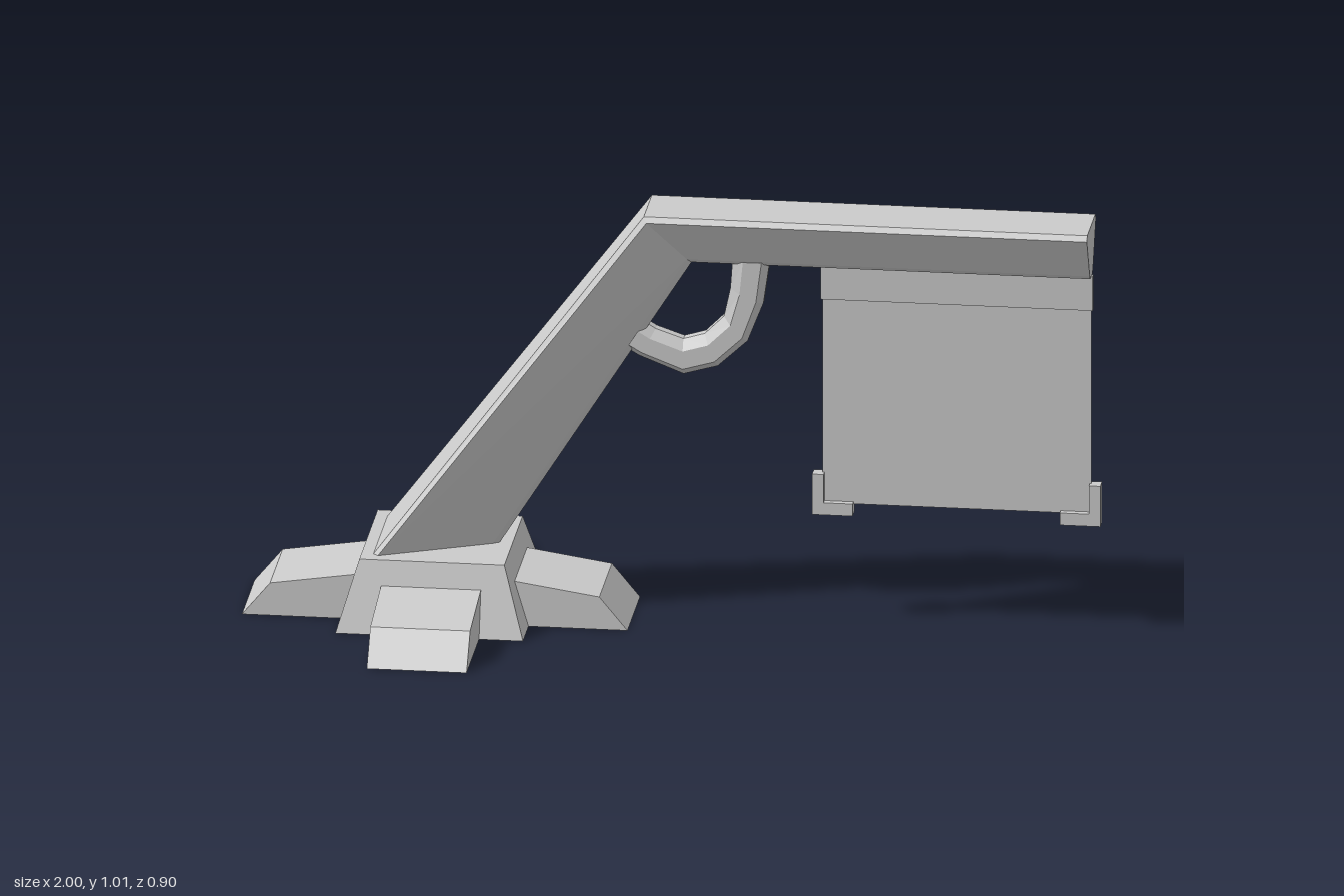
import * as THREE from 'three';

const material = new THREE.MeshStandardMaterial({
  color: 0xcccccc, flatShading: true, side: THREE.DoubleSide,
});

function addMesh(parent, name, geometry, x = 0, y = 0, z = 0) {
  const mesh = new THREE.Mesh(geometry, material);
  mesh.name = name;
  mesh.position.set(x, y, z);
  parent.add(mesh);
  return mesh;
}

// Skins a row of cross-sections; rings run counter-clockwise seen from ahead.
function loft(rings, { closed = true, capStart = false, capEnd = false } = {}) {
  const out = [];
  const n = rings[0].length;
  const tri = (a, b, c) => out.push(...a, ...b, ...c);
  for (let r = 0; r < rings.length - 1; r++) {
    const a = rings[r], b = rings[r + 1];
    for (let i = 0; i < (closed ? n : n - 1); i++) {
      const j = (i + 1) % n;
      tri(a[i], a[j], b[j]);
      tri(a[i], b[j], b[i]);
    }
  }
  const first = rings[0], last = rings[rings.length - 1];
  for (let i = 1; i < n - 1; i++) {
    if (capStart) tri(first[0], first[i + 1], first[i]);
    if (capEnd) tri(last[0], last[i], last[i + 1]);
  }
  const g = new THREE.BufferGeometry();
  g.setAttribute('position', new THREE.Float32BufferAttribute(out, 3));
  g.computeVertexNormals();
  return g;
}

// Half profile on the +z side, mirrored to a full ring.
const mirrored = (half) => [
  ...half,
  ...half.slice().reverse().map(([x, y, z]) => [x, y, -z]),
];

export function createModel() {
  const model = new THREE.Group();
  model.name = 'hangingBannerStand';

  // Base: hollow tapered block with four sloping feet
  const base = new THREE.Group();
  base.name = 'base';
  base.position.x = -0.55;
  model.add(base);
  const square = (r, y) => [[r, y, r], [r, y, -r], [-r, y, -r], [-r, y, r]];
  addMesh(base, 'baseBlock', loft([square(0.22, 0), square(0.17, 0.168)], { capEnd: true }));

  const w = 0.117;
  const arch = (xLow, xTop, y) => [[xLow, 0, -w], [xTop, y, -w], [xTop, y, w], [xLow, 0, w]];
  const footGeometry = loft(
    [arch(0.22, 0.187, 0.11), arch(0.386, 0.386, 0.08), arch(0.452, 0.452, 0)],
    { closed: false });
  for (let i = 0; i < 4; i++) {
    addMesh(base, 'foot', footGeometry).rotation.y = i * Math.PI / 2;
  }

  // Leaning post and arm: one chamfered wedge section, bent at the elbow
  const armSections = [
    [[-0.692, 0.168, 0.13], [-0.68, 0.168, 0.142], [-0.425, 0.168, 0.025], [-0.41, 0.168, 0.014]],
    [[-0.065, 1.01, 0.075], [-0.058, 0.997, 0.084], [0.03, 0.893, 0.03], [0.04, 0.883, 0.02]],
    [[0.975, 1.01, 0.075], [0.975, 0.997, 0.084], [0.975, 0.893, 0.03], [0.975, 0.883, 0.02]],
  ];
  addMesh(model, 'postAndArm', loft(armSections.map(mirrored), { capStart: true, capEnd: true }));

  // Curved brace under the elbow: inner and outer edge of each section
  const braceEdges = [
    [-0.09, 0.74, -0.13, 0.67],
    [-0.045, 0.712, -0.085, 0.643],
    [0.02, 0.69, 0.02, 0.602],
    [0.07, 0.705, 0.10, 0.625],
    [0.115, 0.75, 0.17, 0.69],
    [0.13, 0.82, 0.207, 0.785],
    [0.135, 0.89, 0.222, 0.89],
  ];
  const braceProfile = [[0, 0.012], [0.3, 0.028], [0.8, 0.028], [1, 0.008]];
  addMesh(model, 'brace', loft(braceEdges.map(([ix, iy, ox, oy]) =>
    mirrored(braceProfile.map(([t, z]) => [ix + (ox - ix) * t, iy + (oy - iy) * t, z]))),
  { capStart: true, capEnd: true }));

  // Hanging panel with its header rail
  addMesh(model, 'panel', new THREE.PlaneGeometry(0.63, 0.51), 0.66, 0.55, 0);
  addMesh(model, 'headerRail', new THREE.BoxGeometry(0.638, 0.085, 0.014), 0.66, 0.8425, 0);

  // L-shaped corner weights
  const cornerShape = new THREE.Shape([
    [0, 0], [0.095, 0], [0.095, 0.03], [0.027, 0.03], [0.027, 0.1], [0, 0.1],
  ].map(([x, y]) => new THREE.Vector2(x, y)));
  const corner = new THREE.ExtrudeGeometry(cornerShape, { depth: 0.032, bevelEnabled: false });
  addMesh(model, 'leftCorner', corner.clone().rotateY(Math.PI), 0.998, 0.27, 0.016);
  addMesh(model, 'rightCorner', corner, 0.322, 0.27, -0.016);

  return model;
}
